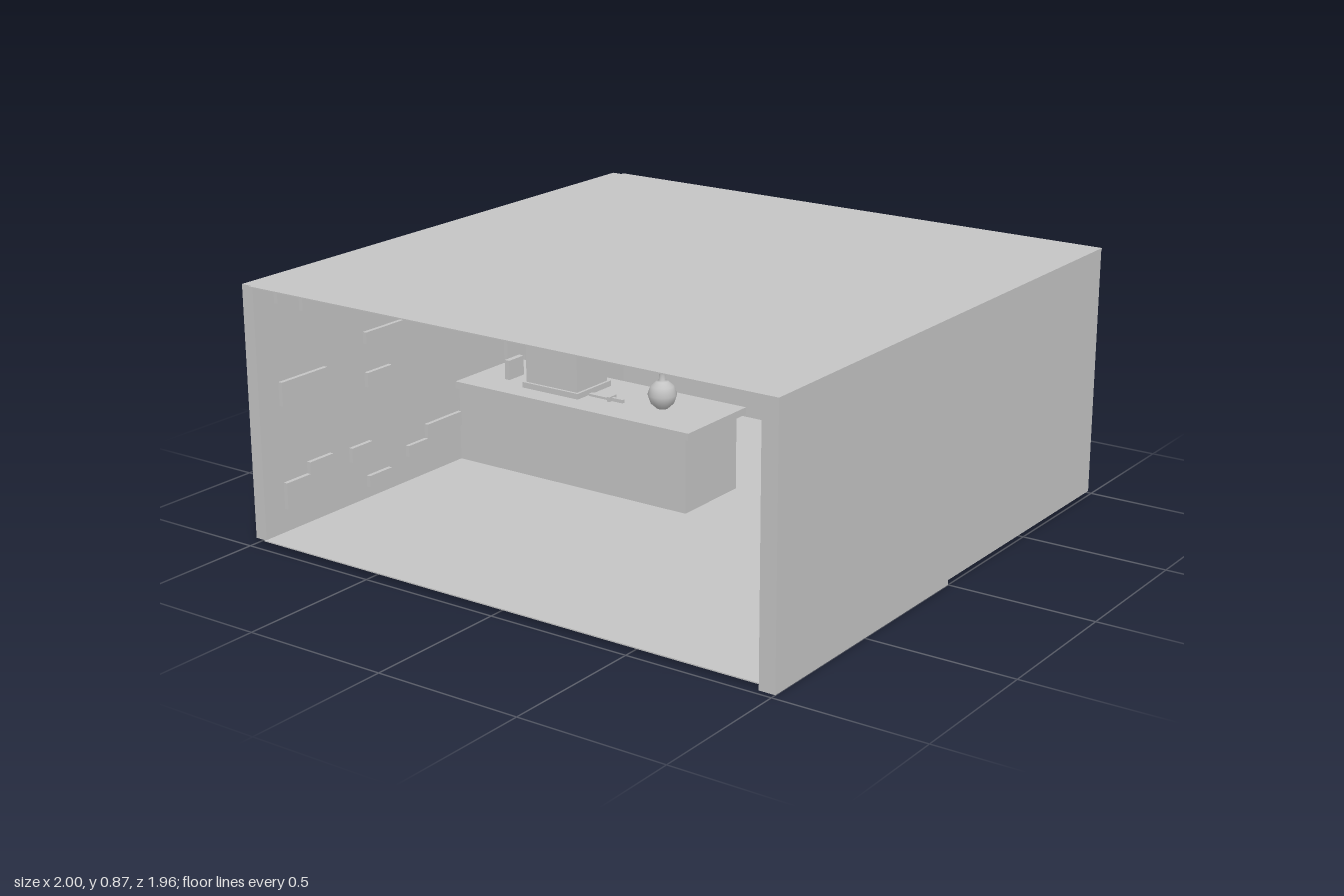
import * as THREE from 'three';

export function createModel() {
  const root = new THREE.Group();
  const stone = new THREE.MeshStandardMaterial({ color: 0xc4c4c4 });
  stone.name = 'plain grey';

  const add = (name, geometry, parent = root) => {
    const mesh = new THREE.Mesh(geometry, stone);
    mesh.name = name;
    parent.add(mesh);
    return mesh;
  };
  // Box given by its two opposite corners
  const block = (name, x0, x1, y0, y1, z0, z1, parent = root) => {
    const mesh = add(name, new THREE.BoxGeometry(x1 - x0, y1 - y0, z1 - z0), parent);
    mesh.position.set((x0 + x1) / 2, (y0 + y1) / 2, (z0 + z1) / 2);
    return mesh;
  };
  const group = (name, x = 0, y = 0, z = 0) => {
    const g = new THREE.Group();
    g.name = name;
    g.position.set(x, y, z);
    root.add(g);
    return g;
  };

  // Room shell, open at the front
  block('floor', -0.96, 0.995, 0.016, 0.02, -0.975, 0.975);
  block('roof', -0.96, 1, 0.863, 0.867, -0.98, 0.98);
  block('leftSideWall', -1, -0.955, 0.018, 0.866, -0.97, 0.97);
  block('rightSideWall', 0.945, 1, 0.016, 0.866, -0.975, 0.98);
  block('rightWallFooting', 0.945, 1, 0, 0.016, 0, 0.98);
  block('backWall', -0.96, 0.995, 0.018, 0.866, -0.98, -0.965);

  // Raised bricks on the back wall: x0, x1, y0, y1
  const backBricks = group('backWallBricks');
  [
    [-0.945, -0.855, 0.74, 0.78], [-0.855, -0.76, 0.70, 0.74],
    [-0.37, -0.275, 0.66, 0.74], [-0.275, -0.18, 0.615, 0.66],
    [0.02, 0.115, 0.70, 0.74], [0.115, 0.21, 0.66, 0.74],
    [0.405, 0.505, 0.70, 0.78], [0.695, 0.795, 0.74, 0.78], [0.795, 0.89, 0.70, 0.78],
    [-0.57, -0.47, 0.485, 0.525], [-0.47, -0.37, 0.45, 0.485],
    [0.60, 0.695, 0.485, 0.525], [0.695, 0.79, 0.45, 0.485],
    [0.31, 0.405, 0.315, 0.36], [0.60, 0.695, 0.275, 0.315], [0.695, 0.79, 0.315, 0.36],
    [0.02, 0.115, 0.06, 0.145], [0.115, 0.21, 0.10, 0.185], [0.505, 0.60, 0.10, 0.185],
  ].forEach(([x0, x1, y0, y1]) => block('backBrick', x0, x1, y0, y1, -0.966, -0.95, backBricks));

  // Raised bricks on both side walls: z0, z1, y0, y1
  const sideBricks = [
    [0.77, 0.88, 0.79, 0.83], [0.67, 0.77, 0.74, 0.79], [0.28, 0.48, 0.56, 0.60],
    [0.77, 0.88, 0.45, 0.53], [0.67, 0.77, 0.49, 0.53], [0.36, 0.48, 0.41, 0.46],
    [0.47, 0.57, 0.17, 0.22], [0.38, 0.49, 0.06, 0.10],
    [0.77, 0.88, 0.10, 0.19], [0.66, 0.77, 0.18, 0.23],
    [0.15, 0.29, 0.11, 0.15], [0.01, 0.19, 0.15, 0.20],
    [-0.2, -0.1, 0.70, 0.78], [-0.45, -0.35, 0.28, 0.36], [-0.35, -0.25, 0.32, 0.40],
    [-0.7, -0.6, 0.62, 0.70], [-0.8, -0.7, 0.12, 0.20],
  ];
  const leftBricks = group('leftWallBricks');
  const rightBricks = group('rightWallBricks');
  sideBricks.forEach(([z0, z1, y0, y1]) => {
    block('sideBrick', -0.956, -0.94, y0, y1, z0, z1, leftBricks);
    block('sideBrick', 0.93, 0.946, y0, y1, z0, z1, rightBricks);
  });

  // Bar counter with overhanging top
  block('counterBody', -0.955, 0.01, 0.02, 0.285, -0.3, 0);
  block('counterTop', -0.955, 0.035, 0.285, 0.31, -0.32, 0.02);

  // Shelves on the back wall
  [[0.435, 0.455], [0.55, 0.57]].forEach(([y0, y1]) =>
    block('shelf', -0.955, 0.02, y0, y1, -0.966, -0.82));

  // Round flasks: bulb, neck and lip turned as one profile
  const flask = (x, y, z, r) => {
    const points = [[0, 0], [0.4, 0.03], [0.8, 0.4], [1, 1], [0.8, 1.6], [0.4, 1.92],
      [0.22, 2.0], [0.22, 2.6], [0.32, 2.65], [0.32, 2.8], [0, 2.8]];
    const profile = points.map(([a, b]) => new THREE.Vector2(a * r, b * r));
    add('flask', new THREE.LatheGeometry(profile, 24)).position.set(x, y, z);
  };
  flask(-0.19, 0.31, -0.15, 0.05);
  flask(-0.82, 0.57, -0.89, 0.025);
  flask(-0.7, 0.455, -0.89, 0.025);

  // Cash box on the counter
  block('cashBoxBase', -0.72, -0.48, 0.31, 0.33, -0.25, -0.06);
  block('cashBoxBody', -0.71, -0.49, 0.33, 0.48, -0.24, -0.07);

  // Small items lying on the counter
  block('standingCard', -0.83, -0.81, 0.31, 0.38, -0.18, -0.1);
  block('knifeBlade', -0.47, -0.38, 0.312, 0.32, -0.13, -0.11);
  block('knifeGuard', -0.385, -0.375, 0.31, 0.327, -0.14, -0.1);
  block('knifeHandle', -0.375, -0.33, 0.31, 0.322, -0.126, -0.114);

  // Wall fitting
  block('wallPlate', 0.31, 0.355, 0.48, 0.54, -0.966, -0.955);
  block('wallLever', 0.315, 0.35, 0.505, 0.515, -0.956, -0.945);

  // Turned crate in the back corner
  const crate = add('crate', new THREE.BoxGeometry(0.165, 0.158, 0.22));
  crate.position.set(0.8, 0.094, -0.74);
  crate.rotation.y = 0.35;

  return root;
}
